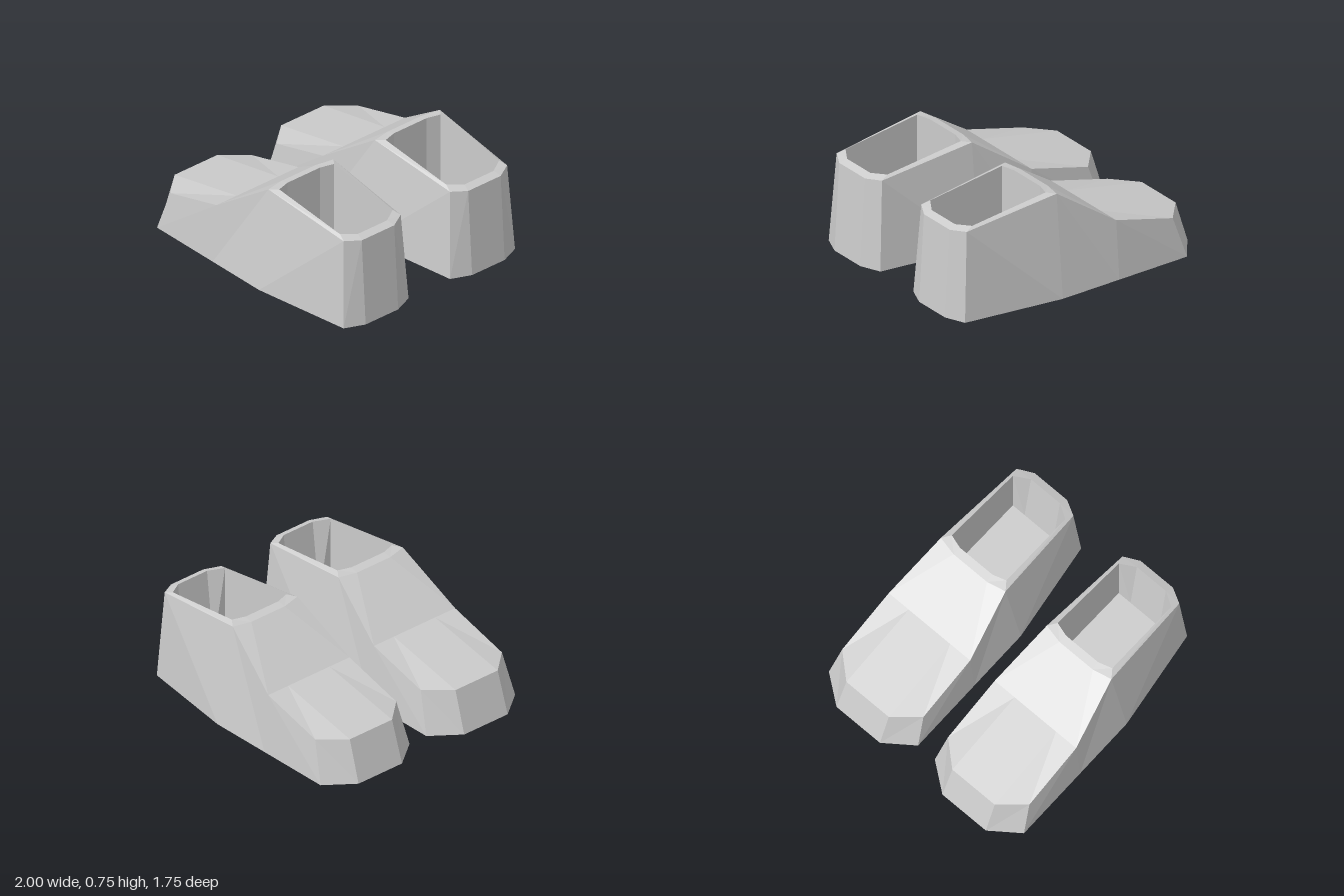
import * as THREE from 'three';

// Half outlines of one shoe, toe (-x) to heel (+x), as [x, y, z]; mirrored across z = 0
const sole = [[-1, 0, 0], [-1, 0, 0.195], [-0.845, 0, 0.4], [-0.275, 0, 0.4],
  [0.2, 0, 0.4], [0.94, 0, 0.29], [1, 0, 0.145], [1, 0, 0]];
const upper = [[-0.905, 0.305, 0], [-0.905, 0.305, 0.19], [-0.75, 0.305, 0.365], [-0.275, 0.435, 0.365],
  [0.17, 0.74, 0.29], [0.9, 0.66, 0.255], [0.96, 0.65, 0.145], [0.96, 0.65, 0]];
const ridge = [upper[1], [-0.275, 0.435, 0.185], [0.14, 0.735, 0.15]];
const collar = [[0.2, 0.748, 0], [0.2, 0.748, 0.145], [0.23, 0.75, 0.245],
  [0.84, 0.68, 0.235], [0.905, 0.67, 0.13], [0.905, 0.67, 0]];
const insole = [[0.2, 0.1, 0], [0.2, 0.1, 0.145], [0.23, 0.1, 0.245],
  [0.84, 0.1, 0.235], [0.84, 0.1, 0.13], [0.84, 0.1, 0]];

const toAxis = (row) => row.map(([x, y]) => [x, y, 0]);

// Skins pairs of rows and adds the mirrored half
function skin(name, material, pairs) {
  const positions = [];
  const triangle = (a, b, c) => {
    positions.push(...a, ...b, ...c);
    for (const [x, y, z] of [a, c, b]) positions.push(x, y, -z);
  };
  for (const [low, high] of pairs) {
    for (let i = 0; i < low.length - 1; i++) {
      triangle(low[i], low[i + 1], high[i + 1]);
      triangle(low[i], high[i + 1], high[i]);
    }
  }
  const geometry = new THREE.BufferGeometry();
  geometry.setAttribute('position', new THREE.Float32BufferAttribute(positions, 3));
  geometry.computeVertexNormals();
  const mesh = new THREE.Mesh(geometry, material);
  mesh.name = name;
  return mesh;
}

function createShoe(name, z, material) {
  const shoe = new THREE.Group();
  shoe.name = name;
  const rimOuter = [toAxis(ridge)[2], ridge[2], ...upper.slice(4)];
  shoe.add(
    skin('sole', material, [[toAxis(sole), sole]]),
    skin('sideWall', material, [[sole, upper]]),
    // Toe cap and sloping instep
    skin('toeAndInstep', material, [[upper.slice(2, 5), ridge], [ridge, toAxis(ridge)]]),
    skin('collarRim', material, [[rimOuter, collar]]),
    // Hollow for the foot
    skin('lining', material, [[collar, insole], [insole, toAxis(insole)]]),
  );
  shoe.position.z = z;
  return shoe;
}

export function createModel() {
  const model = new THREE.Group();
  model.name = 'pairOfShoes';
  const material = new THREE.MeshStandardMaterial({ color: 0xcccccc, flatShading: true });
  model.add(createShoe('frontShoe', 0.475, material), createShoe('backShoe', -0.475, material));
  return model;
}
